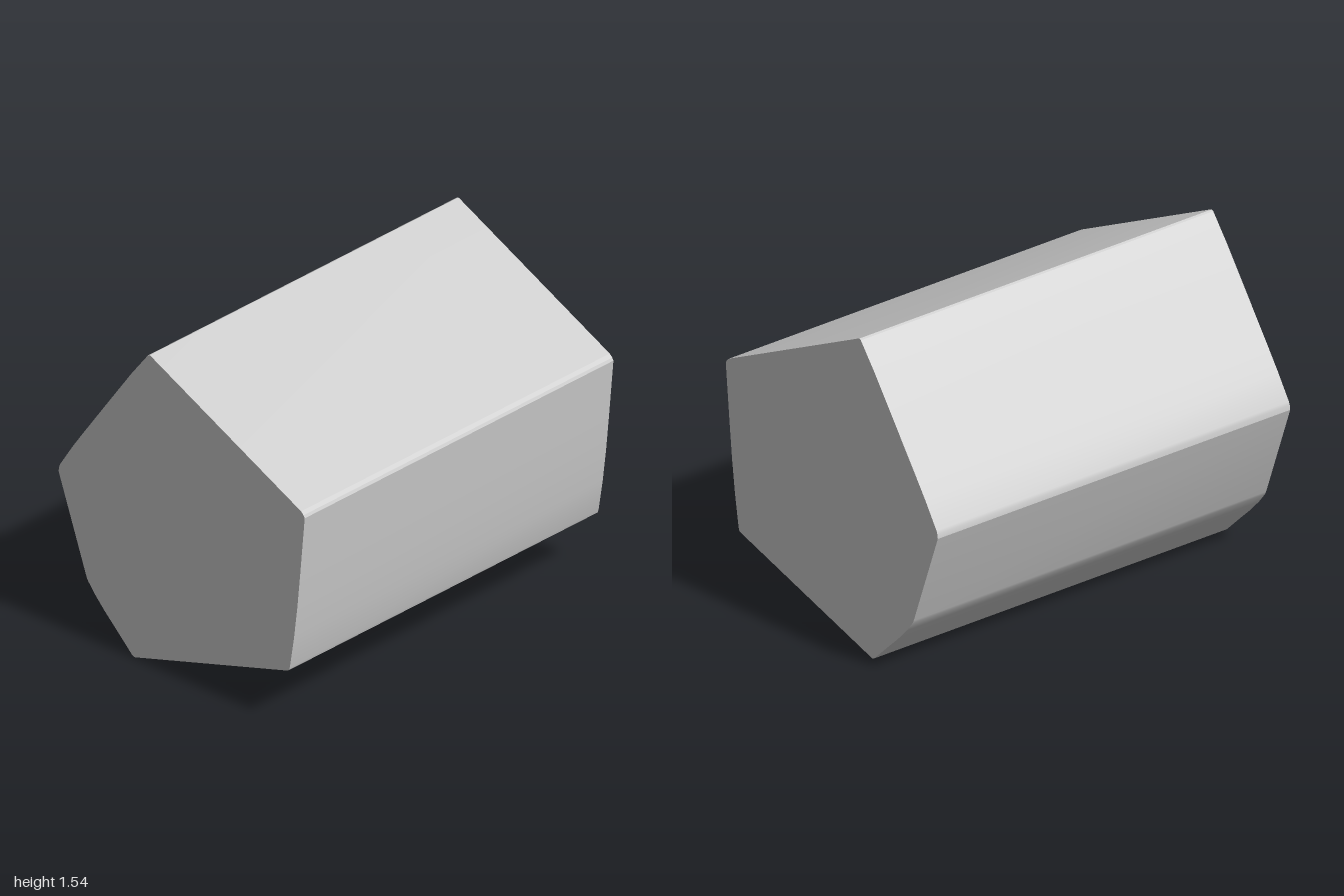
import * as THREE from 'three';
import { toCreasedNormals } from 'three/addons/utils/BufferGeometryUtils.js';

// Irregular five-sided outline with nipped corners, counter-clockwise from the bottom tip
const outline = [
  [-0.285, 0], [-0.275, 0.002],
  [0.63, 0.264], [0.64, 0.27], [0.645, 0.285],
  // gently bowed right side
  [0.67, 0.44], [0.69, 0.6], [0.707, 0.77], [0.734, 1.06],
  [0.727, 1.073], [0.712, 1.087],
  // sloping roof and its ridge
  [-0.185, 1.534], [-0.193, 1.537], [-0.203, 1.532],
  // bowed upper left side
  [-0.3, 1.408], [-0.45, 1.2], [-0.59, 1.005], [-0.65, 0.92], [-0.728, 0.8],
  [-0.734, 0.785], [-0.737, 0.763],
  // lower left side and curved underside
  [-0.57, 0.297], [-0.562, 0.281], [-0.52, 0.228], [-0.46, 0.164], [-0.39, 0.097], [-0.297, 0.006],
];

export function createModel() {
  const group = new THREE.Group();
  group.name = 'prism';

  // Solid bar extruded along z, centred on the origin
  const shape = new THREE.Shape(outline.map(([x, y]) => new THREE.Vector2(x, y)));
  const bar = new THREE.ExtrudeGeometry(shape, { depth: 2, bevelEnabled: false });
  bar.translate(0, 0, -1);

  const body = new THREE.Mesh(
    toCreasedNormals(bar, 0.25),
    new THREE.MeshStandardMaterial({ color: 0xcccccc }),
  );
  body.name = 'body';
  group.add(body);
  return group;
}
